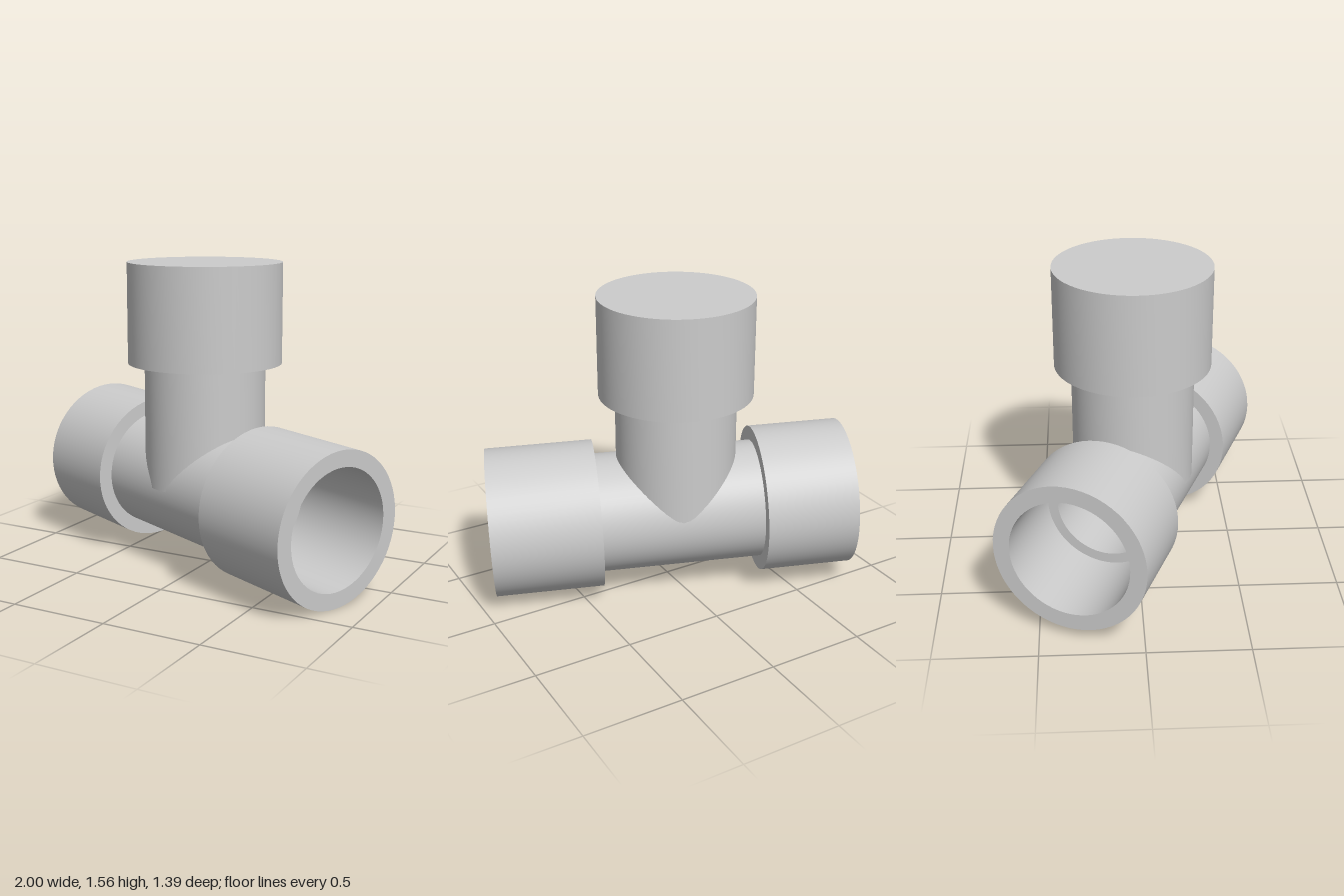
import * as THREE from 'three';
import { toCreasedNormals } from 'three/addons/utils/BufferGeometryUtils.js';

const SEGMENTS = 64;

// Revolve a list of [radius, height] points, keeping the rims sharp
function turned(name, profile) {
  const points = profile.map(([r, y]) => new THREE.Vector2(r, y));
  const geometry = toCreasedNormals(new THREE.LatheGeometry(points, SEGMENTS), 0.6);
  const mesh = new THREE.Mesh(geometry, new THREE.MeshStandardMaterial({ color: 0xcccccc }));
  mesh.name = name;
  return mesh;
}

export function createModel() {
  const group = new THREE.Group();
  group.name = 'pipeTee';

  // Slightly sloping through-pipe, running from the left end to the right end
  const start = new THREE.Vector3(-0.86, 0.443, -0.35);
  const end = new THREE.Vector3(0.857, 0.388, 0.335);
  const length = start.distanceTo(end);
  const a = 0.468;           // inner end of the first socket
  const b = length - 0.55;   // inner end of the second socket
  const socketR = 0.382, socketBore = 0.3, pipeR = 0.308, pipeBore = 0.248;

  // Hollow run: sockets outside, then stepped bore back to the start
  const run = turned('runPipeWithSockets', [
    [socketBore, 0], [socketR, 0], [socketR, a], [pipeR, a],
    [pipeR, b], [socketR, b], [socketR, length], [socketBore, length],
    [socketBore, b], [pipeBore, b], [pipeBore, a], [socketBore, a], [socketBore, 0],
  ]);
  run.position.copy(start);
  run.quaternion.setFromUnitVectors(
    new THREE.Vector3(0, 1, 0), end.clone().sub(start).normalize());
  group.add(run);

  // Solid upright branch with its wider closed head
  const branch = turned('branchWithHead', [
    [0, 0.432], [pipeR, 0.432], [pipeR, 1.055],
    [0.392, 1.055], [0.392, 1.565], [0, 1.565],
  ]);
  branch.position.set(-0.04, 0, -0.018);
  group.add(branch);

  return group;
}
